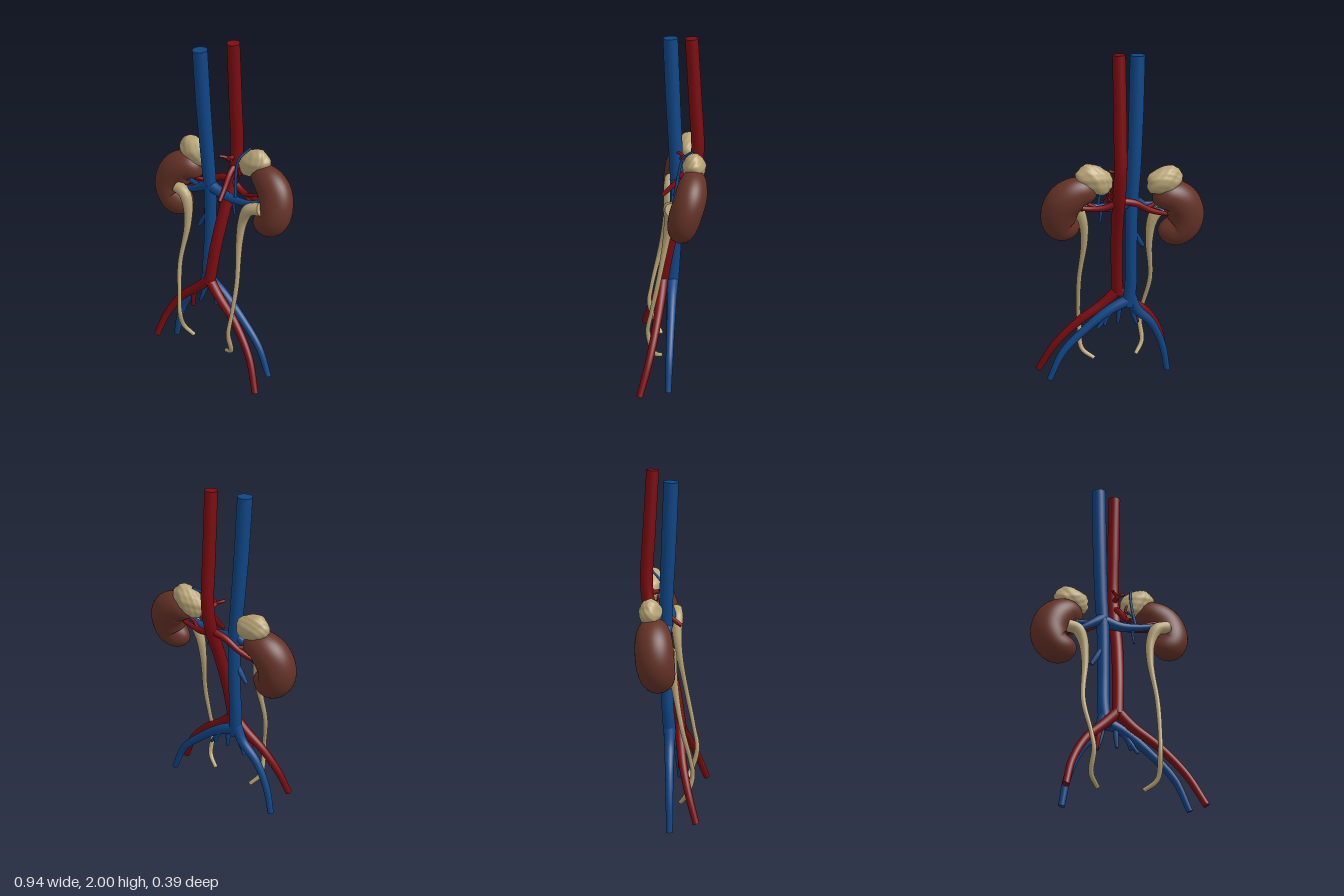
import * as THREE from 'three';
import { mergeVertices } from 'three/addons/utils/BufferGeometryUtils.js';

const paint = (name, color) => {
  const m = new THREE.MeshStandardMaterial({ color });
  m.name = name;
  return m;
};
const V = (p) => new THREE.Vector3(...p);

// Sweep round cross-sections along a smooth path; radius(t) may taper, depth scales the binormal.
function sweep(points, radius, { rings = 40, sides = 20, depth = 1, round = false } = {}) {
  const curve = new THREE.CatmullRomCurve3(points.map(V), false, 'centripetal');
  const span = V(points[points.length - 1]).sub(V(points[0]));
  const alongZ = Math.abs(span.z) > Math.hypot(span.x, span.y);
  const ref = alongZ ? new THREE.Vector3(1, 0, 0) : new THREE.Vector3(0, 0, 1);
  const pos = [], idx = [];
  const ring = (t) => {
    const c = curve.getPointAt(t), T = curve.getTangentAt(t);
    const N = ref.clone().cross(T).normalize(), B = T.clone().cross(N);
    const r = radius(t);
    for (let j = 0; j < sides; j++) {
      const a = (j / sides) * Math.PI * 2;
      const p = c.clone().addScaledVector(N, Math.cos(a) * r).addScaledVector(B, Math.sin(a) * r * depth);
      pos.push(p.x, p.y, p.z);
    }
    return c;
  };
  for (let i = 0; i <= rings; i++) {
    const u = i / rings;
    ring(round ? (1 - Math.cos(Math.PI * u)) / 2 : u);
    if (i === rings) break;
    for (let j = 0; j < sides; j++) {
      const a = i * sides + j, b = i * sides + ((j + 1) % sides);
      idx.push(a, b, a + sides, b, b + sides, a + sides);
    }
  }
  // flat end caps with their own vertices
  if (!round) for (const t of [0, 1]) {
    const s = pos.length / 3;
    const c = ring(t);
    pos.push(c.x, c.y, c.z);
    for (let j = 0; j < sides; j++) {
      const a = s + j, b = s + ((j + 1) % sides);
      idx.push(s + sides, t ? a : b, t ? b : a);
    }
  }
  const g = new THREE.BufferGeometry();
  g.setAttribute('position', new THREE.Float32BufferAttribute(pos, 3));
  g.setIndex(idx);
  g.computeVertexNormals();
  return g;
}

// Radius that passes evenly through the listed values
const taper = (...r) => (t) => {
  const f = t * (r.length - 1), i = Math.min(Math.floor(f), r.length - 2);
  return THREE.MathUtils.lerp(r[i], r[i + 1], f - i);
};

// Lumpy gland: an ellipsoid pushed in and out by layered waves
function glandGeometry(size, seed) {
  let g = new THREE.IcosahedronGeometry(1, 14);
  g.deleteAttribute('uv');
  g.deleteAttribute('normal');
  g = mergeVertices(g);
  const p = g.attributes.position, v = new THREE.Vector3();
  for (let i = 0; i < p.count; i++) {
    v.fromBufferAttribute(p, i);
    const k = 1 + 0.05 * Math.sin(4 * v.x + seed) * Math.cos(5 * v.y - seed)
      + 0.025 * Math.sin(10 * v.y + 7 * v.z + seed) * Math.sin(9 * v.x - 4 * v.z);
    p.setXYZ(i, v.x * k * size[0], v.y * k * size[1], v.z * k * size[2]);
  }
  g.computeVertexNormals();
  return g;
}

export function createModel() {
  const model = new THREE.Group();
  model.name = 'kidneysAndVessels';
  const red = paint('arteryRed', 0x7c0c10);
  const blue = paint('veinBlue', 0x0f4686);
  const brown = paint('kidneyBrown', 0x643226);
  const cream = paint('ureterCream', 0xb8a576);
  const add = (name, geo, mat) => {
    const m = new THREE.Mesh(geo, mat);
    m.name = name;
    model.add(m);
    return m;
  };
  const vessel = (name, mat, radii, points, opts) => add(name, sweep(points, taper(...radii), opts), mat);
  const twig = (name, mat, radii, points) => vessel(name, mat, radii, points, { rings: 16, sides: 10 });

  // Kidneys: bent, rounded beans
  const bean = (R) => (t) => R * Math.pow(Math.max(0, 1 - Math.pow(Math.abs(2 * t - 1), 2.6)), 0.5);
  const kidney = (name, R, depth, pts) =>
    add(name, sweep(pts, bean(R), { rings: 56, sides: 36, depth, round: true }), brown);
  kidney('rightKidney', 0.107, 0.98, [[-0.17, 1.15, -0.08], [-0.27, 1.163, -0.07], [-0.342, 1.11, -0.06],
    [-0.368, 1.02, -0.05], [-0.33, 0.948, -0.04], [-0.215, 0.935, -0.03]]);
  kidney('leftKidney', 0.102, 0.86, [[0.165, 1.245, -0.13], [0.26, 1.256, -0.115], [0.335, 1.21, -0.1],
    [0.364, 1.13, -0.075], [0.35, 1.055, -0.055], [0.25, 1.01, -0.04]]);

  // Adrenal glands
  const gland = (name, size, at, tilt, seed) => {
    const m = add(name, glandGeometry(size, seed), cream);
    m.position.set(...at);
    m.rotation.z = tilt;
  };
  gland('rightAdrenalGland', [0.105, 0.077, 0.062], [-0.23, 1.27, -0.09], -0.3, 1);
  gland('leftAdrenalGland', [0.11, 0.077, 0.062], [0.175, 1.325, -0.12], 0.6, 4);

  // Ureters, flared where they leave the kidney
  const flare = [0.036, 0.035, 0.027, 0.022, 0.018, 0.015, 0.014, 0.014, 0.013, 0.012, 0.013, 0.015, 0.014, 0.012];
  const ureter = (name, pts) => vessel(name, cream, flare, pts, { rings: 70, sides: 16 });
  ureter('rightUreter', [[-0.28, 1.06, 0.01], [-0.225, 1.045, 0.015], [-0.193, 0.98, 0.02], [-0.183, 0.85, 0.035],
    [-0.205, 0.6, 0.08], [-0.172, 0.4, 0.125], [-0.16, 0.3, 0.138], [-0.163, 0.18, 0.1], [-0.115, 0.115, 0.065]]);
  ureter('leftUreter', [[0.32, 1.14, 0], [0.25, 1.115, 0.012], [0.21, 1.03, 0.015], [0.2, 0.9, 0.03],
    [0.222, 0.65, 0.075], [0.22, 0.45, 0.115], [0.212, 0.32, 0.136], [0.205, 0.18, 0.1], [0.14, 0.125, 0.065]]);

  // Aorta and its end branches
  vessel('aorta', red, [0.035, 0.036, 0.036, 0.034, 0.033],
    [[0.033, 2, -0.103], [0.033, 1.65, -0.125], [0.035, 1.35, -0.14], [0.035, 1.2, -0.115], [0.028, 1, -0.045],
      [0.015, 0.78, 0.015], [0, 0.54, 0.055]], { rings: 60, sides: 28 });
  const iliac = [0.032, 0.027, 0.023, 0.021, 0.019];
  vessel('leftIliacArtery', red, iliac,
    [[-0.01, 0.57, 0.05], [0.08, 0.48, 0.062], [0.22, 0.375, 0.085], [0.36, 0.22, 0.125], [0.452, 0.04, 0.178]]);
  vessel('rightIliacArtery', red, iliac,
    [[0.01, 0.57, 0.05], [-0.08, 0.48, 0.062], [-0.19, 0.375, 0.085], [-0.275, 0.23, 0.125], [-0.32, 0.08, 0.17]]);
  twig('rightInnerIliacArtery', red, [0.018, 0.015, 0.011],
    [[-0.1, 0.46, 0.062], [-0.115, 0.4, 0.065], [-0.122, 0.33, 0.06]]);

  // Vena cava and the iliac veins
  vessel('venaCava', blue, [0.041, 0.041, 0.039, 0.036, 0.034, 0.036],
    [[-0.102, 1.96, 0.01], [-0.09, 1.6, -0.005], [-0.075, 1.3, -0.02], [-0.062, 1.1, -0.025], [-0.06, 0.8, -0.02],
      [-0.062, 0.62, -0.01], [-0.05, 0.48, 0]], { rings: 60, sides: 28 });
  vessel('leftIliacVein', blue, [0.034, 0.027, 0.023, 0.021, 0.017],
    [[-0.06, 0.52, -0.005], [0.06, 0.465, 0], [0.2, 0.36, 0.005], [0.34, 0.22, 0.012], [0.42, 0.05, 0.018]]);
  vessel('rightIliacVein', blue, [0.034, 0.028, 0.023, 0.021, 0.018],
    [[-0.055, 0.56, -0.005], [-0.1, 0.45, 0], [-0.195, 0.34, 0.008], [-0.265, 0.18, 0.015], [-0.298, 0.01, 0.018]]);
  [
    ['middleSacralVein', [[0.005, 0.49, 0], [0.005, 0.43, 0.005], [0.01, 0.37, 0.008]]],
    ['rightInnerIliacVein', [[-0.07, 0.48, 0], [-0.085, 0.41, 0.01], [-0.105, 0.345, 0.015]]],
    ['leftInnerIliacVein', [[0.05, 0.46, 0], [0.085, 0.41, 0.005], [0.13, 0.35, 0.01]]],
    ['leftInnerIliacVeinFork', [[0.07, 0.44, 0], [0.085, 0.4, 0], [0.092, 0.37, -0.005]]],
  ].forEach(([name, pts]) => twig(name, blue, [0.018, 0.014, 0.009], pts));

  // Renal veins
  vessel('leftRenalVein', blue, [0.036, 0.028, 0.022, 0.019, 0.015],
    [[-0.07, 1.14, -0.025], [0.04, 1.115, -0.025], [0.15, 1.12, -0.015], [0.24, 1.14, -0.012], [0.3, 1.165, -0.03]]);
  vessel('rightRenalVein', blue, [0.034, 0.024, 0.018, 0.014],
    [[-0.06, 1.15, -0.02], [-0.13, 1.105, -0.012], [-0.19, 1.07, -0.015], [-0.27, 1.045, -0.03]]);
  twig('rightRenalVeinFork', blue, [0.016, 0.011], [[-0.13, 1.11, -0.015], [-0.19, 1.11, -0.025], [-0.26, 1.12, -0.04]]);
  twig('rightGonadalVein', blue, [0.024, 0.017, 0.011],
    [[-0.06, 0.96, -0.02], [-0.1, 0.905, -0.012], [-0.135, 0.85, -0.008]]);
  twig('leftAdrenalVein', blue, [0.006, 0.008, 0.009],
    [[0.15, 1.41, -0.12], [0.115, 1.35, -0.06], [0.115, 1.25, -0.035], [0.13, 1.13, -0.015]]);
  twig('leftAdrenalVeinFork', blue, [0.005, 0.006], [[0.09, 1.23, -0.06], [0.1, 1.21, -0.035], [0.122, 1.19, -0.028]]);
  twig('leftGonadalVein', blue, [0.011, 0.008, 0.006], [[0.11, 1.12, -0.015], [0.115, 1.07, -0.02], [0.123, 1.02, -0.02]]);

  // Renal arteries with forks into each kidney
  vessel('leftRenalArtery', red, [0.022, 0.018, 0.015, 0.011],
    [[0.035, 1.17, -0.105], [0.11, 1.14, -0.09], [0.19, 1.135, -0.07], [0.28, 1.15, -0.06]]);
  vessel('rightRenalArtery', red, [0.022, 0.019, 0.016, 0.011],
    [[0.035, 1.18, -0.11], [-0.06, 1.155, -0.105], [-0.15, 1.1, -0.095], [-0.27, 1.05, -0.07]]);
  for (const [y, z] of [[1.19, -0.05], [1.12, -0.04]])
    twig('leftRenalArteryFork', red, [0.012, 0.008], [[0.15, 1.135, -0.078], [0.205, (y + 1.135) / 2, -0.05], [0.28, y, z]]);
  for (const [y, z] of [[1.12, -0.05], [1.04, -0.045]])
    twig('rightRenalArteryFork', red, [0.013, 0.008], [[-0.13, 1.115, -0.095], [-0.195, (y + 1.12) / 2, -0.055], [-0.27, y, z]]);

  // Gut and adrenal arteries from the front of the aorta
  twig('coeliacArtery', red, [0.016, 0.014, 0.012], [[0.035, 1.31, -0.135], [0.035, 1.32, -0.08], [0.035, 1.325, -0.055]]);
  twig('coeliacRightBranch', red, [0.011, 0.008], [[0.036, 1.325, -0.065], [0.015, 1.335, -0.05], [-0.002, 1.34, -0.03]]);
  twig('coeliacLeftBranch', red, [0.011, 0.008], [[0.034, 1.325, -0.065], [0.055, 1.33, -0.05], [0.075, 1.335, -0.045]]);
  twig('mesentericArtery', red, [0.018, 0.018, 0.015, 0.012],
    [[0.038, 1.27, -0.13], [0.046, 1.235, -0.07], [0.058, 1.17, -0.01], [0.072, 1.115, 0.052]]);
  for (const [y, lift] of [[1.25, 0.03], [1.21, 0.02]])
    twig('leftAdrenalArtery', red, [0.007, 0.005], [[0.04, y, -0.12], [0.08, y - 0.03, -0.085], [0.1, y + lift, -0.085], [0.13, y + 0.06, -0.1]]);
  return model;
}
